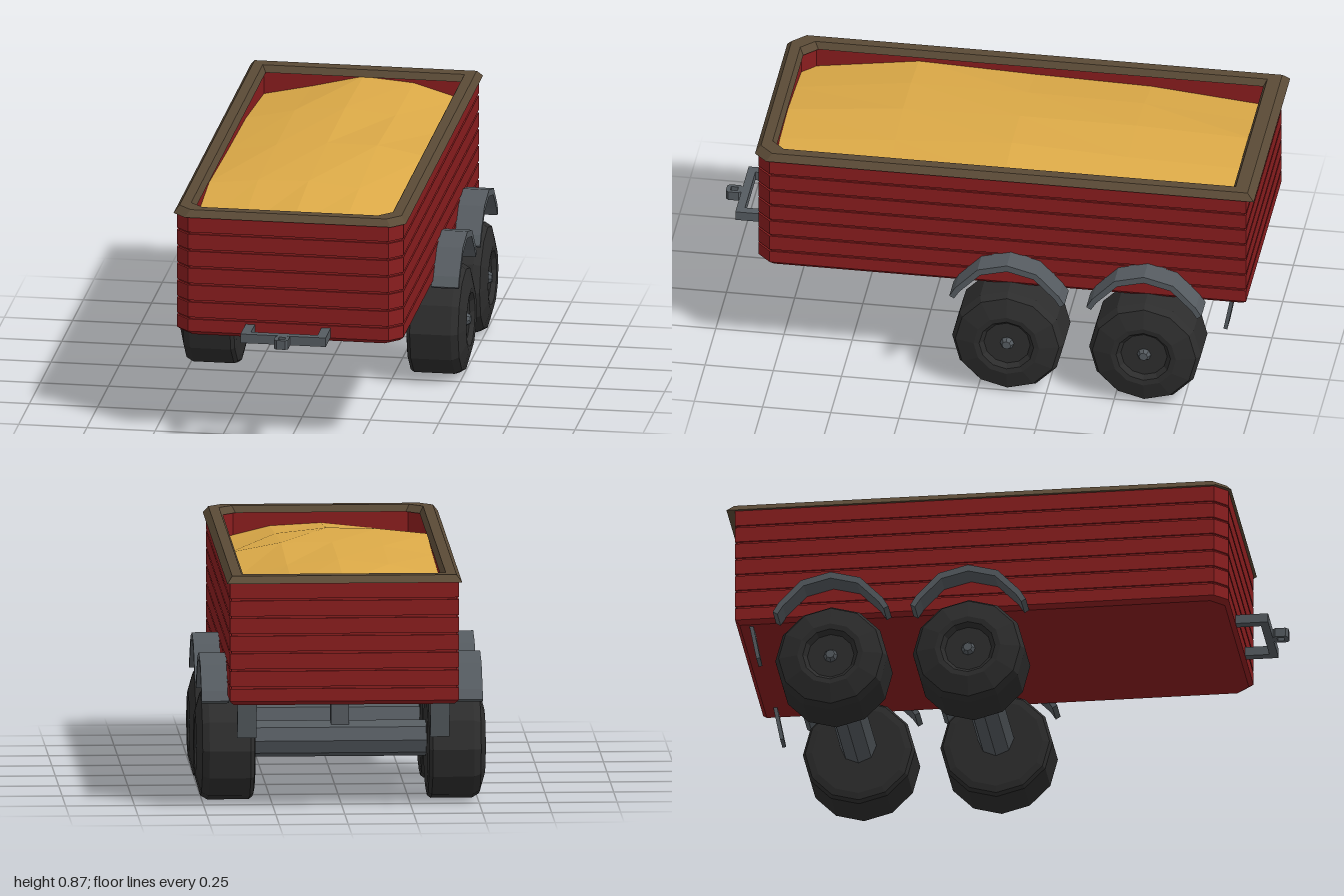
import * as THREE from 'three';

const mat = (name, color) => new THREE.MeshStandardMaterial({ name, color, flatShading: true });

// Plan outline of the box, inset by d, square at the back and chamfered at the front
function outline(d, back = 0) {
  const w = 0.415 - d, f = 0.825 - d, b = -0.97 + d - back, c = 0.048;
  return [[-w + c, f], [w - c, f], [w, f - c], [w, b], [-w, b], [-w, f - c]];
}

// Skin between successive outlines; each section is [inset, y, extra length at the back]
function loft(sections) {
  const pos = [], idx = [];
  sections.forEach(([d, y, back]) => outline(d, back).forEach(([x, z]) => pos.push(x, y, z)));
  for (let s = 0; s < sections.length - 1; s++) {
    for (let j = 0; j < 6; j++) {
      const a = s * 6 + j, b = s * 6 + (j + 1) % 6;
      idx.push(a, b, b + 6, a, b + 6, a + 6);
    }
  }
  const g = new THREE.BufferGeometry();
  g.setAttribute('position', new THREE.Float32BufferAttribute(pos, 3));
  g.setIndex(idx);
  g.computeVertexNormals();
  return g;
}

export function createModel() {
  const red = mat('red planks', 0x891d1e);
  const brown = mat('brown trim', 0x5a4a36);
  const gold = mat('golden grain', 0xdba947);
  const steel = mat('grey steel', 0x555b60);
  const rubber = mat('black rubber', 0x2d2d2d);
  const model = new THREE.Group();
  model.name = 'trailer';

  const add = (name, geo, material, x = 0, y = 0, z = 0, parent = model) => {
    const m = new THREE.Mesh(geo, material);
    m.name = name;
    m.position.set(x, y, z);
    parent.add(m);
    return m;
  };
  const box = (name, w, h, d, x, y, z) => add(name, new THREE.BoxGeometry(w, h, d), steel, x, y, z);

  // Plank walls: outside with square grooves, then over the top and down the inside
  const wall = [[0.015, 0.395], [0, 0.41]];
  for (let i = 0; i < 6; i++) {
    const y = 0.46 + i * 0.0645;
    wall.push([0, y - 0.004], [0.006, y - 0.004], [0.006, y + 0.004], [0, y + 0.004]);
  }
  wall.push([0, 0.85], [0.05, 0.85], [0.05, 0.41]);
  add('plankWalls', loft(wall), red);

  // Floor, facing down
  const floor = new THREE.ShapeGeometry(new THREE.Shape(outline(0.015).map(p => new THREE.Vector2(...p))));
  add('floor', floor.rotateX(Math.PI / 2), red, 0, 0.395, 0);

  // Top rim
  add('topRim', loft([[-0.011, 0.845, 0.019], [0.008, 0.87, 0.012], [0.045, 0.87, 0],
    [0.058, 0.845, 0], [-0.011, 0.845, 0.019]]), brown);

  // Heaped grain, rows from back to front
  const heights = [
    0.76, 0.80, 0.845, 0.83, 0.775,
    0.80, 0.84, 0.86, 0.84, 0.79,
    0.81, 0.845, 0.86, 0.86, 0.825,
    0.825, 0.845, 0.85, 0.83, 0.78,
    0.76, 0.785, 0.805, 0.795, 0.75,
  ];
  const grain = new THREE.PlaneGeometry(0.74, 1.71, 4, 4).rotateX(-Math.PI / 2);
  heights.forEach((h, i) => grain.attributes.position.setY(i, h));
  grain.computeVertexNormals();
  add('grain', grain, gold, 0, 0, -0.075);

  // Tyre with recessed hub, as radius and distance from the model's centre line
  const tyreProfile = [[0, 0.312], [0.17, 0.312], [0.195, 0.317], [0.205, 0.33], [0.205, 0.48], [0.19, 0.505],
    [0.12, 0.525], [0.1, 0.522], [0.085, 0.505], [0, 0.505]].map(p => new THREE.Vector2(...p));
  const tyre = new THREE.LatheGeometry(tyreProfile, 12).rotateZ(-Math.PI / 2);
  const cap = new THREE.CylinderGeometry(0.016, 0.026, 0.018, 8).rotateZ(-Math.PI / 2);

  // Mudguard arch: outer points, then inner points in reverse
  const arch = [[-0.211, 0.39], [-0.19, 0.425], [-0.108, 0.51], [0, 0.538],
    [0.108, 0.51], [0.19, 0.425], [0.211, 0.39]];
  const inner = [[-0.194, 0.38], [-0.174, 0.411], [-0.098, 0.488], [0, 0.513],
    [0.098, 0.488], [0.174, 0.411], [0.194, 0.38]].reverse();
  const guard = new THREE.ExtrudeGeometry(
    new THREE.Shape([...arch, ...inner].map(p => new THREE.Vector2(...p))),
    { depth: 0.1, bevelEnabled: false }).rotateY(Math.PI / 2);

  // Two axles, each with a post, a pair of wheels and a pair of mudguards
  for (const z of [-0.108, -0.61]) {
    const axle = new THREE.CylinderGeometry(0.066, 0.066, 0.64, 8).rotateZ(Math.PI / 2);
    add('axle', axle, steel, 0, 0.221, z);
    box('axlePost', 0.065, 0.13, 0.06, 0, 0.335, z);
    for (const side of [1, -1]) {
      const wheel = new THREE.Group();
      wheel.name = side > 0 ? 'leftWheel' : 'rightWheel';
      wheel.position.set(0, 0.205, z);
      if (side < 0) wheel.rotation.y = Math.PI;
      add('tyre', tyre, rubber, 0, 0, 0, wheel);
      add('hubCap', cap, steel, 0.513, 0, 0, wheel);
      model.add(wheel);
      add('mudguard', guard, steel, side > 0 ? 0.41 : -0.51, 0, z);
    }
  }

  // Mud flaps under the back corners
  for (const side of [1, -1]) {
    box('mudFlap', 0.07, 0.135, 0.014, side * 0.35, 0.333, -0.902).rotation.x = -0.19;
  }

  // Drawbar frame and coupling ring
  for (const side of [1, -1]) box('drawbarArm', 0.034, 0.034, 0.13, side * 0.139, 0.43, 0.875);
  box('drawbarCrossbar', 0.312, 0.034, 0.03, 0, 0.43, 0.928);
  const ring = new THREE.Shape();
  ring.moveTo(-0.016, -0.029).lineTo(0.016, -0.029).lineTo(0.026, -0.019).lineTo(0.026, 0.019)
    .lineTo(0.016, 0.029).lineTo(-0.016, 0.029).lineTo(-0.026, 0.019).lineTo(-0.026, -0.019);
  const hole = new THREE.Path();
  hole.moveTo(-0.012, -0.013).lineTo(-0.012, 0.013).lineTo(0.012, 0.013).lineTo(0.012, -0.013);
  ring.holes.push(hole);
  const ringGeo = new THREE.ExtrudeGeometry(ring, { depth: 0.034, bevelEnabled: false }).rotateX(-Math.PI / 2);
  add('couplingRing', ringGeo, steel, 0, 0.413, 0.971);

  return model;
}
